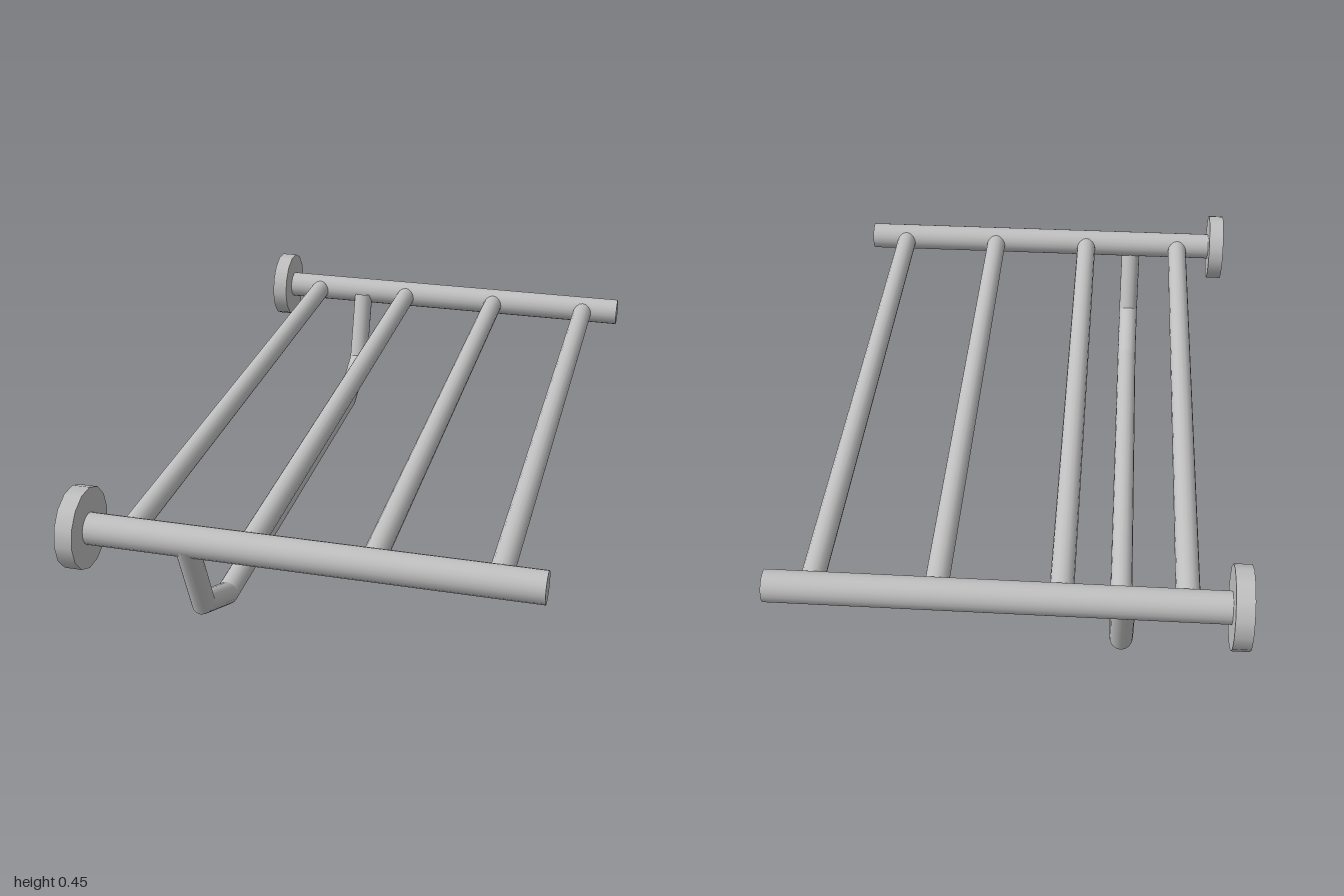
import * as THREE from 'three';

// Round pipe with mitred corners along a path [z, y] in the plane of constant x
function bentPipe(path, x, r, sides) {
  const pts = path.map(([z, y]) => new THREE.Vector2(z, y));
  const dir = (i) => pts[i + 1].clone().sub(pts[i]).normalize();
  const pos = [], nor = [], idx = [];
  for (let s = 0; s < pts.length - 1; s++) {
    const d = dir(s), n = new THREE.Vector2(-d.y, d.x), base = pos.length / 3;
    for (const e of [s, s + 1]) {
      // Slide each ring point along the pipe onto the mitre plane
      const a = e > 0 ? dir(e - 1) : d;
      const b = e < pts.length - 1 ? dir(e) : d;
      const m = a.clone().add(b).normalize();
      for (let k = 0; k <= sides; k++) {
        const t = (k / sides) * Math.PI * 2;
        const u = Math.cos(t), v = Math.sin(t);
        const slide = -(r * u * n.dot(m)) / d.dot(m);
        pos.push(x + r * v, pts[e].y + n.y * r * u + d.y * slide, pts[e].x + n.x * r * u + d.x * slide);
        nor.push(v, n.y * u, n.x * u);
      }
    }
    for (let k = 0; k < sides; k++) {
      const p = base + k, q = p + sides + 1;
      idx.push(p, p + 1, q, p + 1, q + 1, q);
    }
  }
  const g = new THREE.BufferGeometry();
  g.setAttribute('position', new THREE.Float32BufferAttribute(pos, 3));
  g.setAttribute('normal', new THREE.Float32BufferAttribute(nor, 3));
  g.setIndex(idx);
  return g;
}

export function createModel() {
  const group = new THREE.Group();
  const steel = new THREE.MeshStandardMaterial({ color: 0xc0c0c0, side: THREE.DoubleSide });
  steel.name = 'brushed steel';

  const add = (name, geometry, x = 0, y = 0, z = 0) => {
    const mesh = new THREE.Mesh(geometry, steel);
    mesh.name = name;
    mesh.position.set(x, y, z);
    group.add(mesh);
  };

  const railY = 0.343, railZ = 0.895;

  // Side rails with round wall flanges
  const rail = new THREE.CylinderGeometry(0.042, 0.042, 1.18, 20).rotateZ(Math.PI / 2);
  const flange = new THREE.CylinderGeometry(0.108, 0.108, 0.047, 14).rotateZ(Math.PI / 2);
  for (const side of [1, -1]) {
    const label = side > 0 ? 'front' : 'back';
    add(label + 'Rail', rail, 0.017, railY, side * railZ);
    add(label + 'WallFlange', flange, -0.5855, railY, side * 0.893);
  }

  // Shelf bars
  const bar = new THREE.CylinderGeometry(0.031, 0.031, railZ * 2, 16).rotateX(Math.PI / 2);
  for (let i = 0; i < 4; i++) add('shelfBar' + (i + 1), bar, -0.455 + i * 0.315, railY, 0);

  // Hanging towel bar below the shelf
  const path = [[0.908, 0.34], [0.825, 0.115], [0.652, 0.032], [-0.62, 0.032], [-0.792, 0.118], [-0.87, 0.335]];
  add('towelBar', bentPipe(path, -0.296, 0.031, 16));

  return group;
}
